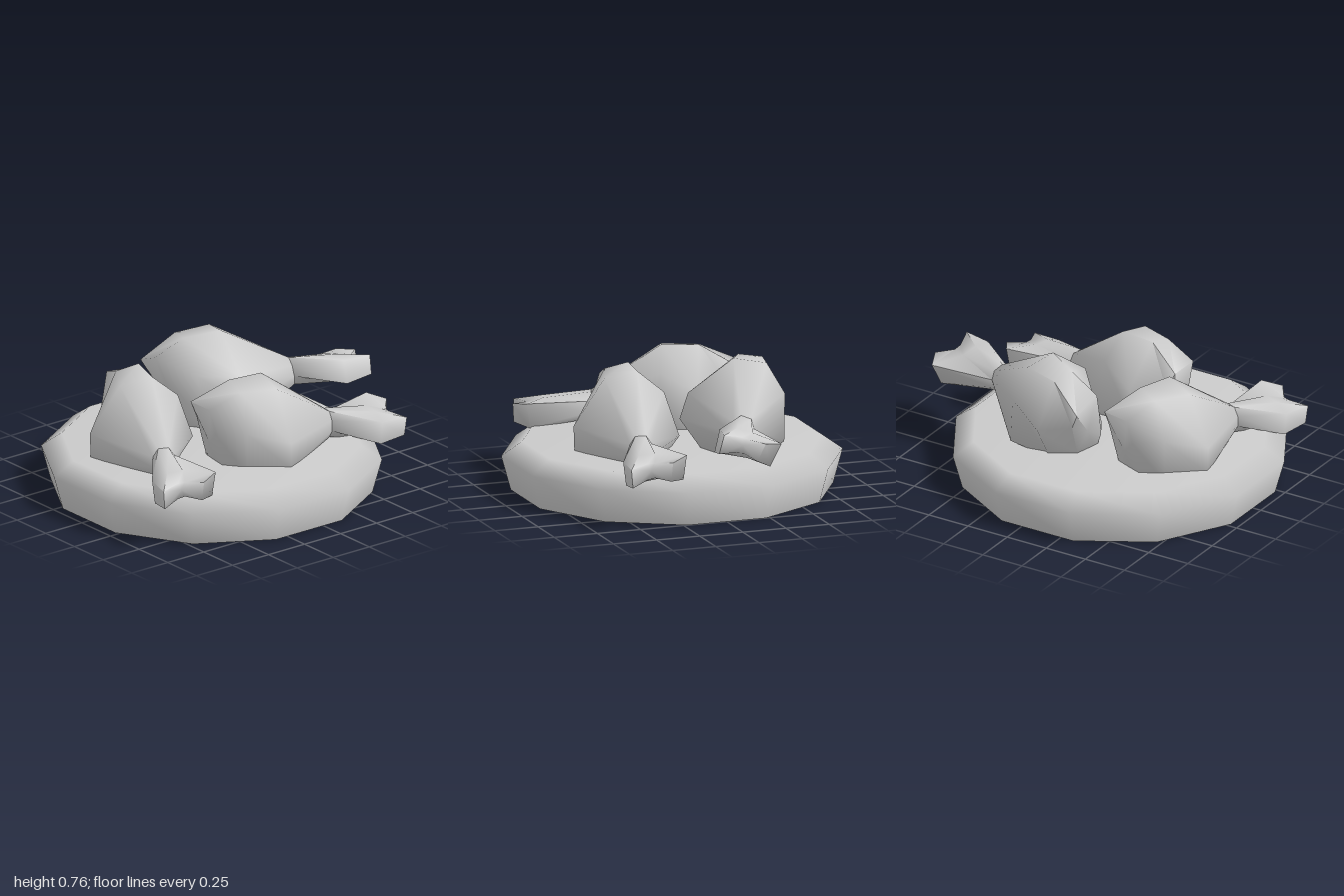
import * as THREE from 'three';
import { toCreasedNormals } from 'three/addons/utils/BufferGeometryUtils.js';

const material = new THREE.MeshStandardMaterial({ color: 0xcccccc });
const SIDES = 12;

// Skin between equal rings of [x, y, z] points, with a fan closing both ends.
function loft(rings, endCentre) {
  const n = rings[0].length;
  const points = rings.flat();
  const index = [];
  for (let k = 0; k < rings.length - 1; k++) {
    for (let i = 0; i < n; i++) {
      const a = k * n + i, b = k * n + (i + 1) % n;
      index.push(a, b, b + n, a, b + n, a + n);
    }
  }
  const mean = ring => [0, 1, 2].map(c => ring.reduce((s, p) => s + p[c], 0) / n);
  const start = points.push(mean(rings[0])) - 1;
  const end = points.push(endCentre || mean(rings[rings.length - 1])) - 1;
  const last = (rings.length - 1) * n;
  for (let i = 0; i < n; i++) {
    const j = (i + 1) % n;
    index.push(start, j, i, end, last + i, last + j);
  }
  const geometry = new THREE.BufferGeometry();
  geometry.setAttribute('position', new THREE.Float32BufferAttribute(points.flat(), 3));
  geometry.setIndex(index);
  return toCreasedNormals(geometry, 1.5);
}

function addMesh(parent, name, geometry) {
  const mesh = new THREE.Mesh(geometry, material);
  mesh.name = name;
  parent.add(mesh);
  return mesh;
}

// Ring of [x, y] points at one depth; lean tilts the ring lengthwise with height.
const ringAt = (z, xy, lean = 0) => xy.map(([x, y]) => [x, y, z + lean * y]);

// Narrow neck where meat meets bone, at the drumstick's origin.
const neck = [[-0.03, 0.075], [0.03, 0.075], [0.06, 0.03], [0.06, -0.03],
  [0.03, -0.075], [-0.03, -0.075], [-0.06, -0.03], [-0.06, 0.03]];

function meatGeometry() {
  const blunt = ringAt(0.715, [[-0.09, 0.24], [0.085, 0.245], [0.09, 0.1], [0.09, -0.1],
    [0.04, -0.2], [-0.05, -0.2], [-0.09, -0.1], [-0.11, 0.14]], 0.22);
  blunt[0][2] += 0.025;
  return loft([
    blunt,
    ringAt(0.585, [[-0.04, 0.345], [0.09, 0.315], [0.175, 0.1], [0.18, -0.14],
      [0.05, -0.25], [-0.09, -0.25], [-0.2, -0.11], [-0.229, 0.12]]),
    ringAt(0.38, [[-0.05, 0.345], [0.13, 0.31], [0.3, 0.05], [0.295, -0.1],
      [0.08, -0.25], [-0.12, -0.25], [-0.285, -0.03], [-0.2, 0.22]]),
    ringAt(0, neck),
  ]);
}

// Bone flares into two knobs with a notch between them.
function boneGeometry() {
  const flare = ringAt(-0.265, [[-0.03, 0.04], [0.06, 0.035], [0.146, 0], [0.13, -0.13],
    [0.04, -0.115], [-0.05, -0.1], [-0.175, -0.095], [-0.19, 0.045]]);
  flare[6][2] = -0.33;
  flare[7][2] = -0.347;
  const tip = [[-0.01, 0.01, -0.365], [0.03, 0.01, -0.365], [0.13, -0.005, -0.425],
    [0.12, -0.11, -0.415], [0.03, -0.08, -0.365], [-0.01, -0.07, -0.365],
    [-0.09, -0.08, -0.42], [-0.1, 0.025, -0.425]];
  return loft([ringAt(0, neck), flare, tip], [0.008, -0.03, -0.362]);
}

export function createModel() {
  const model = new THREE.Group();
  model.name = 'dishOfDrumsticks';

  // Twelve-sided dish with a bevelled rim
  const dish = new THREE.Group();
  dish.name = 'dish';
  dish.position.z = 0.1;
  model.add(dish);
  const corner = 1 / Math.cos(Math.PI / SIDES);
  const turn = Math.PI / SIDES;
  const profile = [[0.85, 0], [0.9, 0.19], [0.79, 0.27], [0, 0.27]]
    .map(([r, y]) => new THREE.Vector2(r * corner, y));
  addMesh(dish, 'dishBody', new THREE.LatheGeometry(profile, SIDES, turn));
  const base = addMesh(dish, 'dishBase', new THREE.CircleGeometry(0.85 * corner, SIDES, turn));
  base.rotation.x = Math.PI / 2;

  // Three drumsticks, placed by neck position and heading, pitch, roll in degrees
  const meat = meatGeometry(), bone = boneGeometry();
  const placements = [
    ['frontDrumstick', [0.265, 0.355, 0.645], [111.3, 0, 0]],
    ['leftDrumstick', [0.37, 0.355, -0.405], [9.9, 0, 0]],
    ['rightDrumstick', [-0.155, 0.455, -0.565], [16.5, 5, 20]],
  ];
  for (const [name, position, [heading, pitch, roll]] of placements) {
    const drumstick = new THREE.Group();
    drumstick.name = name;
    drumstick.position.set(...position);
    const rad = THREE.MathUtils.degToRad;
    drumstick.rotation.set(rad(pitch), -rad(heading), rad(roll), 'YXZ');
    addMesh(drumstick, 'meat', meat);
    addMesh(drumstick, 'bone', bone);
    model.add(drumstick);
  }
  return model;
}
